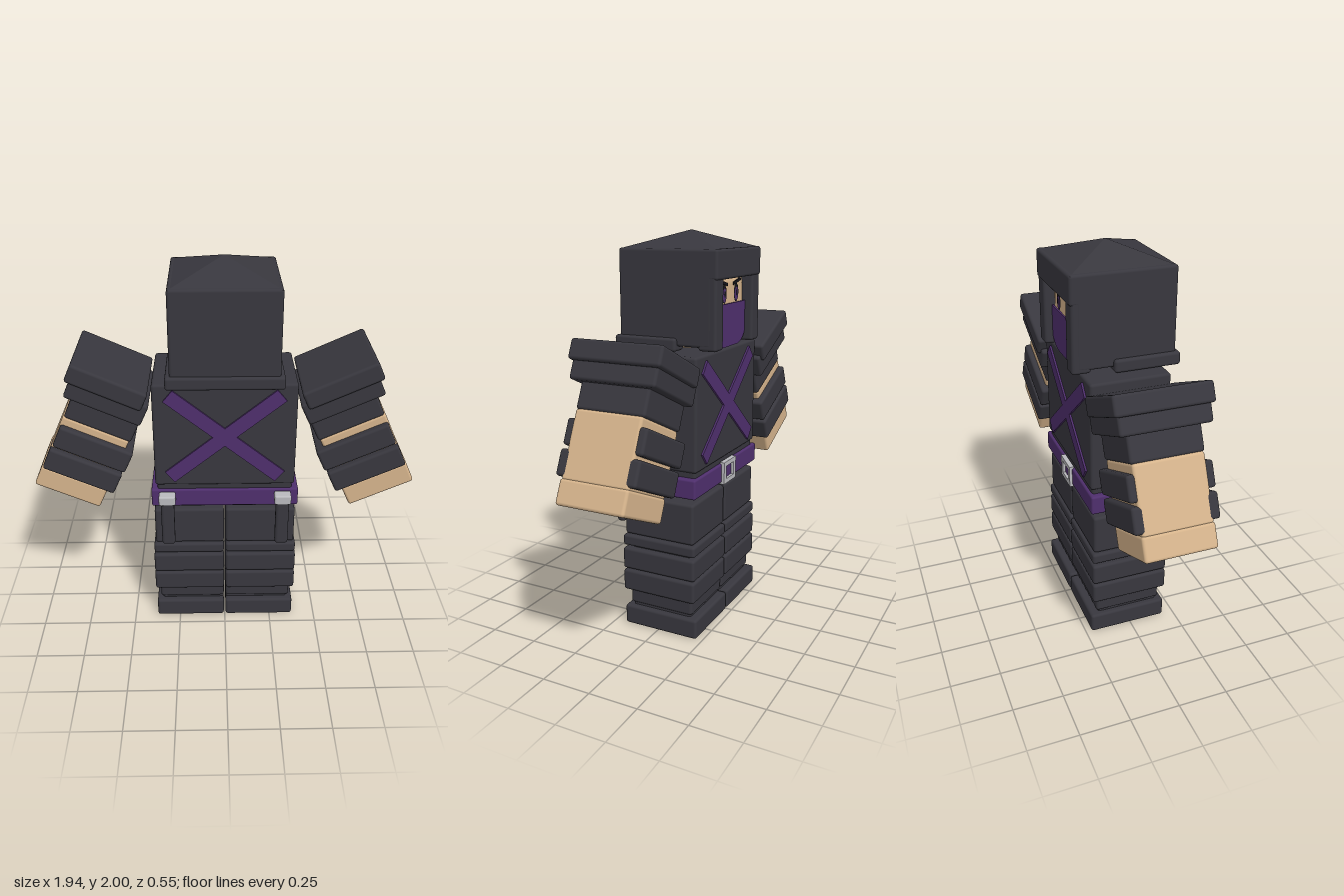
import * as THREE from 'three';
import { RoundedBoxGeometry } from 'three/addons/geometries/RoundedBoxGeometry.js';

const mat = (name, color) => {
  const m = new THREE.MeshStandardMaterial({ color });
  m.name = name;
  return m;
};

export function createModel() {
  const cloth = mat('charcoal cloth', 0x38373e);
  const purple = mat('purple fabric', 0x4f2f6d);
  const skin = mat('tan skin', 0xd6b48c);
  const metal = mat('light metal', 0xb9b9bd);
  const black = mat('black', 0x17151b);

  const root = new THREE.Group();
  const group = (name, parent = root) => {
    const g = new THREE.Group();
    g.name = name;
    parent.add(g);
    return g;
  };
  const add = (parent, name, geo, material, x = 0, y = 0, z = 0) => {
    const m = new THREE.Mesh(geo, material);
    m.name = name;
    m.position.set(x, y, z);
    parent.add(m);
    return m;
  };
  // Softly bevelled block given by its limits on each axis
  const block = (parent, name, material, [x0, x1], [y0, y1], [z0, z1], r = 0.014) => {
    const w = x1 - x0, h = y1 - y0, d = z1 - z0;
    const geo = new RoundedBoxGeometry(w, h, d, 2, Math.min(r, w / 3, h / 3, d / 3));
    return add(parent, name, geo, material, (x0 + x1) / 2, (y0 + y1) / 2, (z0 + z1) / 2);
  };

  // Legs: stacked wraps, [name, outer x, y range, z range]
  const legParts = [
    ['foot', 0.375, [0, 0.103], [-0.22, 0.19]],
    ['legCore', 0.345, [0.09, 0.69], [-0.175, 0.155]],
    ['ankle', 0.355, [0.115, 0.2], [-0.185, 0.165]],
    ['shinWrap', 0.38, [0.193, 0.304], [-0.21, 0.195]],
    ['upperShinWrap', 0.38, [0.312, 0.425], [-0.21, 0.195]],
    ['kneeBand', 0.377, [0.438, 0.496], [-0.21, 0.195]],
    ['thigh', 0.367, [0.5, 0.71], [-0.2, 0.185]],
  ];
  // Arms: in the arm's own frame, [name, across, along, depth]
  const armParts = [
    ['hand', [-0.177, 0.177], [0, 0.118], [-0.185, 0.163], skin],
    ['armCore', [-0.176, 0.172], [0.11, 0.43], [-0.18, 0.16], skin],
    ['wristWrap', [-0.21, 0.172], [0.126, 0.248], [-0.212, 0.195], cloth],
    ['forearmWrap', [-0.217, 0.167], [0.264, 0.386], [-0.212, 0.195], cloth],
    ['sleeve', [-0.184, 0.167], [0.427, 0.6], [-0.185, 0.165], cloth],
    ['shoulderWrap', [-0.188, 0.208], [0.55, 0.67], [-0.227, 0.207], cloth],
    ['shoulderPad', [-0.158, 0.232], [0.634, 0.73], [-0.245, 0.22], cloth],
  ];
  for (const s of [1, -1]) {
    const side = s > 0 ? 'left' : 'right';
    const range = ([a, b]) => (s > 0 ? [a, b] : [-b, -a]);
    const leg = group(side + 'Leg');
    for (const [name, x, y, z] of legParts) block(leg, name, cloth, range([0.005, x]), y, z);

    const arm = group(side + 'Arm');
    arm.position.set(s * 0.815, 0.787, 0);
    arm.rotation.z = s * 0.427;
    for (const [name, x, y, z, m] of armParts) block(arm, name, m, range(x), y, z);

    // Tool hanging behind the hip
    const tool = group(side + 'HipTool');
    block(tool, 'toolHandle', cloth, range([0.26, 0.328]), [0.54, 0.8], [0.214, 0.26], 0.02);
    block(tool, 'toolCap', metal, range([0.252, 0.337]), [0.785, 0.838], [0.205, 0.265], 0.01);
  }

  // Torso with crossed straps on both sides
  const torso = group('torso');
  block(torso, 'chest', cloth, [-0.355, 0.355], [0.868, 1.43], [-0.21, 0.195]);
  block(torso, 'hips', cloth, [-0.345, 0.345], [0.73, 0.88], [-0.2, 0.185]);
  for (const z of [0.197, -0.212]) {
    for (const tilt of [1, -1]) {
      const strap = add(torso, 'crossStrap', new THREE.BoxGeometry(0.715, 0.075, 0.016), purple, 0, 1.148, z);
      strap.rotation.z = tilt * 0.685;
    }
  }

  // Belt and square buckle
  const belt = group('belt');
  block(belt, 'beltBand', purple, [-0.377, 0.377], [0.742, 0.842], [-0.215, 0.198], 0.01);
  for (const s of [1, -1]) {
    add(belt, 'buckleSide', new THREE.BoxGeometry(0.028, 0.116, 0.025), metal, s * 0.058, 0.792, -0.217);
    add(belt, 'buckleBar', new THREE.BoxGeometry(0.1, 0.024, 0.025), metal, 0, 0.792 + s * 0.046, -0.217);
  }

  // Head: open-faced hood with a pointed top
  const head = group('head');
  add(head, 'neck', new THREE.CylinderGeometry(0.1, 0.1, 0.06, 24), skin, 0, 1.435, 0);
  block(head, 'skull', skin, [-0.2, 0.2], [1.45, 1.8], [-0.215, 0.2], 0.06);
  block(head, 'hoodBack', cloth, [-0.262, 0.262], [1.46, 1.917], [0.19, 0.257]);
  block(head, 'hoodTop', cloth, [-0.262, 0.262], [1.775, 1.917], [-0.27, 0.257]);
  for (const s of [1, -1]) {
    const xs = (a, b) => (s > 0 ? [a, b] : [-b, -a]);
    block(head, 'hoodSide', cloth, xs(0.18, 0.262), [1.46, 1.9], [-0.24, 0.257]);
    block(head, 'hoodPillar', cloth, xs(0.172, 0.261), [1.445, 1.8], [-0.264, -0.17]);
    block(head, 'collarSide', cloth, xs(0.19, 0.284), [1.435, 1.5], [-0.06, 0.27]);
  }
  block(head, 'collarBack', cloth, [-0.284, 0.284], [1.435, 1.5], [0.17, 0.275]);
  const roof = new THREE.ConeGeometry(Math.SQRT1_2, 1, 4).toNonIndexed();
  roof.rotateY(Math.PI / 4);
  roof.scale(0.516, 0.088, 0.518);
  roof.computeVertexNormals();
  add(head, 'hoodPeak', roof, cloth, 0, 1.956, -0.006);

  // Face, turned toward -z
  const face = group('face', head);
  face.rotation.y = Math.PI;
  face.position.z = -0.215;
  const maskShape = new THREE.Shape();
  maskShape.moveTo(-0.176, 1.65);
  maskShape.lineTo(-0.176, 1.51);
  maskShape.quadraticCurveTo(-0.16, 1.45, -0.08, 1.44);
  maskShape.lineTo(0.08, 1.44);
  maskShape.quadraticCurveTo(0.16, 1.45, 0.176, 1.51);
  maskShape.lineTo(0.176, 1.65);
  add(face, 'mask', new THREE.ExtrudeGeometry(maskShape, { depth: 0.008, bevelEnabled: false }), purple);
  const oval = (name, m, w, h, x, y, z) => {
    const e = add(face, name, new THREE.CircleGeometry(0.5, 24), m, x, y, z);
    e.scale.set(w, h, 1);
  };
  for (const s of [1, -1]) {
    oval('eye', black, 0.056, 0.09, s * 0.07, 1.698, 0.003);
    oval('iris', purple, 0.042, 0.066, s * 0.07, 1.692, 0.005);
    oval('pupil', black, 0.02, 0.034, s * 0.07, 1.698, 0.007);
    const brow = add(face, 'eyebrow', new THREE.BoxGeometry(0.085, 0.014, 0.006), black, s * 0.078, 1.752, 0.003);
    brow.rotation.z = s * 0.22;
  }
  return root;
}
